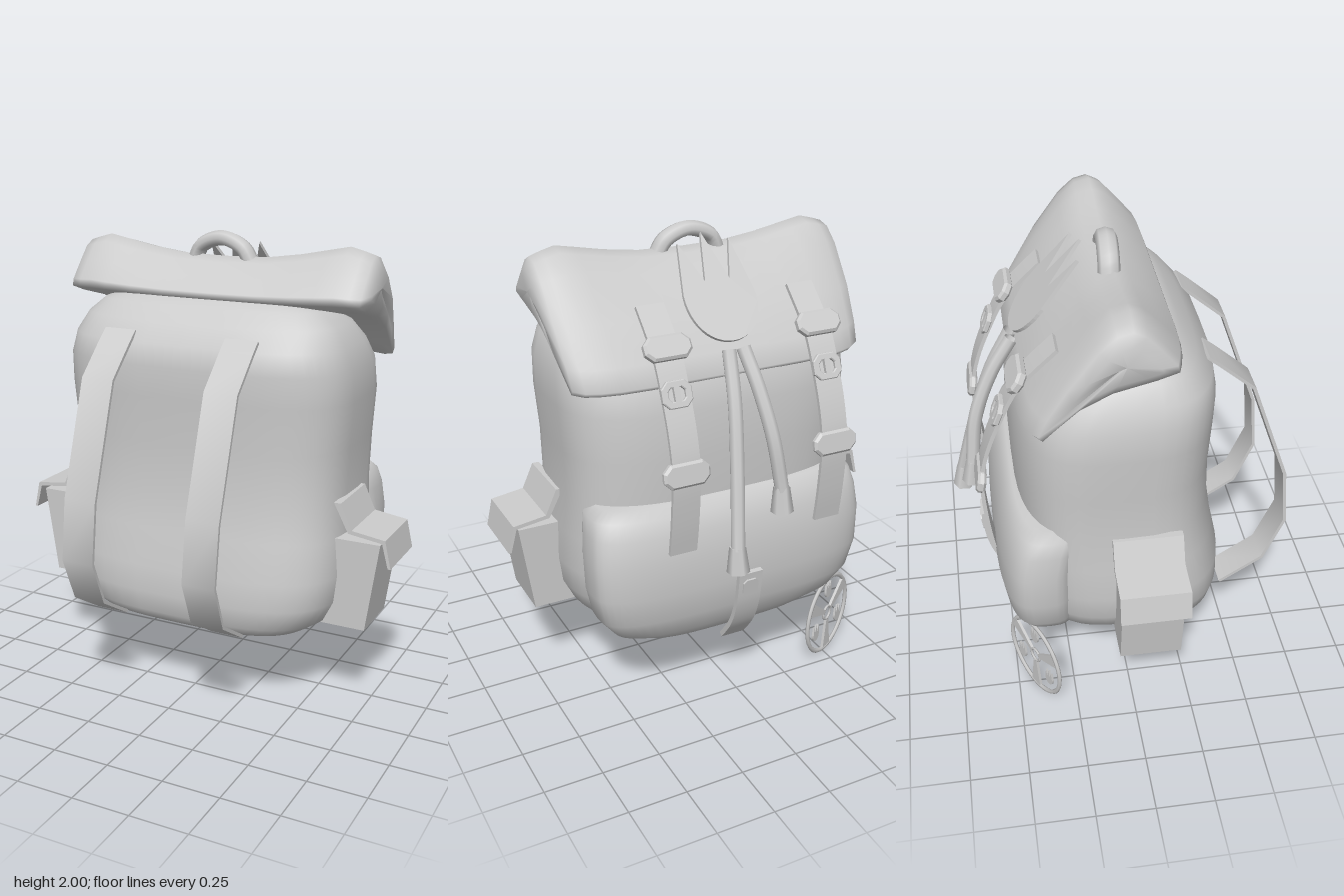
import * as THREE from 'three';
import { toCreasedNormals } from 'three/addons/utils/BufferGeometryUtils.js';

const grey = new THREE.MeshStandardMaterial({ color: 0xcccccc, side: THREE.DoubleSide });

function part(parent, name, geometry) {
  const mesh = new THREE.Mesh(geometry, grey);
  mesh.name = name;
  parent.add(mesh);
  return mesh;
}

// Smooth skin over a list of equally long closed rings of Vector3
function loft(rings) {
  const n = rings[0].length, index = [];
  for (let r = 0; r < rings.length - 1; r++) {
    for (let i = 0; i < n; i++) {
      const a = r * n + i, b = r * n + (i + 1) % n;
      index.push(a, a + n, b, b, a + n, b + n);
    }
  }
  const g = new THREE.BufferGeometry().setFromPoints(rings.flat());
  g.setIndex(index);
  g.computeVertexNormals();
  return g;
}

// Rounded-box bag from rows of [y, half width, front z, back z]
function bag(rows, power, sides = 48) {
  const bend = v => Math.sign(v) * Math.abs(v) ** (2 / power);
  return loft(rows.map(([y, w, front, back]) => Array.from({ length: sides }, (_, i) => {
    const t = i / sides * Math.PI * 2;
    return new THREE.Vector3(w * bend(Math.cos(t)), y,
      (front + back) / 2 + (front - back) / 2 * bend(Math.sin(t)));
  })));
}

// Flat strap following a path of [z, y] points, its width along x
function strapBand(points, width, thickness, steps = 24) {
  const curve = new THREE.SplineCurve(points.map(p => new THREE.Vector2(...p)));
  const outer = [], inner = [];
  for (let i = 0; i <= steps; i++) {
    const p = curve.getPoint(i / steps), t = curve.getTangent(i / steps);
    const n = new THREE.Vector2(-t.y, t.x).multiplyScalar(thickness / 2);
    outer.push(p.clone().add(n));
    inner.unshift(p.clone().sub(n));
  }
  const g = new THREE.ExtrudeGeometry(new THREE.Shape([...outer, ...inner]),
    { depth: width, bevelEnabled: false });
  return toCreasedNormals(g.translate(0, 0, -width / 2).rotateY(-Math.PI / 2), 0.8);
}

// Lay a piece on the back: local y runs along (0, ty, tz), local z points outward
function layOnBack(mesh, x, y, z, ty, tz) {
  const up = new THREE.Vector3(0, ty, tz).normalize();
  const side = new THREE.Vector3(-1, 0, 0);
  const out = side.clone().cross(up);
  mesh.quaternion.setFromRotationMatrix(new THREE.Matrix4().makeBasis(side, up, out));
  mesh.position.set(x, y, z);
  return mesh;
}

const polygon = pts => new THREE.Shape(pts.map(p => new THREE.Vector2(...p)));
// Rectangle with cut corners
const cutRect = (w, h, c) => polygon([[-w + c, -h], [w - c, -h], [w, -h + c], [w, h - c],
  [w - c, h], [-w + c, h], [-w, h - c], [-w, -h + c]]);
const plate = (shape, depth, bevel = 0) => new THREE.ExtrudeGeometry(shape, {
  depth, bevelEnabled: bevel > 0, bevelSize: bevel, bevelThickness: bevel, bevelSegments: 1 });

// Flame outline standing on y = 0, one unit high, with three tongues
function flame() {
  const s = new THREE.Shape();
  s.moveTo(0, 0);
  s.bezierCurveTo(0.22, 0, 0.36, 0.2, 0.34, 0.42);
  s.lineTo(0.25, 0.92);
  s.lineTo(0.14, 0.55);
  s.lineTo(0, 1);
  s.lineTo(-0.1, 0.55);
  s.lineTo(-0.25, 0.92);
  s.lineTo(-0.34, 0.45);
  s.bezierCurveTo(-0.36, 0.2, -0.22, 0, 0, 0);
  return s;
}

export function createModel() {
  const model = new THREE.Group();
  model.name = 'backpack';

  // Main sack
  part(model, 'body', bag([
    [0.295, 0.01, 0.01, -0.01], [0.3, 0.2, 0.12, -0.2], [0.325, 0.4, 0.28, -0.32],
    [0.36, 0.52, 0.39, -0.37], [0.41, 0.59, 0.43, -0.4], [0.5, 0.635, 0.44, -0.42],
    [0.62, 0.65, 0.435, -0.43], [0.78, 0.645, 0.4, -0.44], [0.95, 0.635, 0.375, -0.45],
    [1.15, 0.64, 0.37, -0.455], [1.35, 0.655, 0.38, -0.45], [1.48, 0.65, 0.385, -0.42],
    [1.57, 0.62, 0.37, -0.36], [1.65, 0.575, 0.3, -0.26], [1.71, 0.5, 0.24, -0.16],
    [1.745, 0.4, 0.19, -0.1], [1.76, 0.01, 0.06, 0.04]], 3.3));

  // Bulging pocket low on the back
  part(model, 'backPocket', bag([
    [0.28, 0.01, -0.3, -0.32], [0.285, 0.2, -0.22, -0.39], [0.32, 0.4, -0.2, -0.45],
    [0.38, 0.53, -0.2, -0.5], [0.47, 0.6, -0.2, -0.535], [0.6, 0.63, -0.2, -0.555],
    [0.75, 0.635, -0.2, -0.55], [0.86, 0.625, -0.18, -0.53], [0.93, 0.61, -0.16, -0.5],
    [0.97, 0.57, -0.16, -0.465], [0.985, 0.01, -0.3, -0.32]], 3.4));

  // Rolled flap over the top: one [z, y] profile swept along x, tucked in at the ends
  const profile = [[0.2, 1.745], [0.19, 1.775], [0.12, 1.845], [0.05, 1.91], [-0.01, 1.935],
    [-0.08, 1.92], [-0.16, 1.86], [-0.3, 1.7], [-0.4, 1.56], [-0.44, 1.48], [-0.42, 1.46],
    [-0.35, 1.52], [-0.25, 1.6], [-0.1, 1.67], [0.1, 1.715]];
  // [x, height scale, depth scale, ridge lift]
  const half = [[0, 1, 1, -0.04], [0.2, 1, 1, -0.035], [0.35, 1, 1, -0.015],
    [0.48, 1, 0.98, 0.01], [0.56, 1, 0.94, 0.025], [0.62, 1, 0.88, 0.01],
    [0.665, 0.97, 0.82, 0], [0.69, 0.6, 0.55, 0], [0.69, 0.001, 0.001, 0]];
  const stations = [...half.slice(1).reverse().map(([x, ...rest]) => [-x, ...rest]), ...half];
  part(model, 'topFlap', loft(stations.map(([x, sy, sz, lift]) => profile.map(([z, y]) =>
    new THREE.Vector3(x * (1 - 0.12 * Math.max(0, 1.75 - y)) + 0.02,
      1.8 + (y - 1.8) * sy + lift * Math.max(0, (y - 1.72) / 0.21),
      -0.04 + (z + 0.04) * sz)))));

  // Carry handle, a little wider than thick
  const handle = new THREE.CatmullRomCurve3([[-0.13, 1.87], [-0.1, 1.93], [0, 1.967],
    [0.1, 1.93], [0.14, 1.87]].map(([x, y]) => new THREE.Vector3(x, y, x * 0.04)));
  const grip = part(model, 'carryHandle', new THREE.TubeGeometry(handle, 20, 0.032, 8));
  grip.scale.z = 1.4;
  grip.position.z = -0.02;

  // Shoulder straps bowing out at the front
  for (const x of [-0.285, 0.272]) {
    const g = strapBand([[0.33, 1.61], [0.38, 1.57], [0.53, 1.44], [0.7, 0.97],
      [0.72, 0.71], [0.63, 0.51], [0.44, 0.39]], 0.145, 0.014, 6);
    const p = g.attributes.position;
    for (let i = 0; i < p.count; i++) {
      const y = p.getY(i);
      p.setX(i, p.getX(i) + 0.015 * Math.sin((y - 0.6) * Math.PI) - 0.01);
    }
    part(model, 'shoulderStrap', g).position.x = x;
  }

  // Box pouches with hanging lids on both sides
  for (const side of [1, -1]) {
    const pouch = new THREE.Group();
    pouch.name = 'sidePouch';
    pouch.scale.x = side;
    model.add(pouch);
    const box = plate(polygon([[0.55, 0.4], [0.765, 0.4], [0.82, 0.79], [0.55, 0.79]]), 0.26);
    part(pouch, 'pouchBox', box).position.z = -0.075;
    const lid = [[0.62, 0.95], [0.65, 0.95], [0.7, 0.84], [0.845, 0.82], [0.872, 0.7],
      [0.86, 0.7], [0.832, 0.805], [0.685, 0.825]];
    part(pouch, 'pouchLid', plate(polygon(lid), 0.29)).position.z = -0.09;
  }

  // Buckled closing straps on the back
  const ring = cutRect(0.06, 0.05, 0.025);
  ring.holes.push(cutRect(0.04, 0.03, 0.015));
  for (const x of [-0.385, 0.295]) {
    const closing = new THREE.Group();
    closing.name = 'closingStrap';
    model.add(closing);
    part(closing, 'strapWebbing', strapBand([[-0.27, 1.75], [-0.42, 1.6], [-0.5, 1.45],
      [-0.56, 1.3], [-0.59, 1.15], [-0.58, 0.95], [-0.56, 0.8]], 0.12, 0.016)).position.x = x;
    layOnBack(part(closing, 'upperBuckle', plate(cutRect(0.09, 0.04, 0.025), 0.02, 0.01)),
      x, 1.62, -0.42, 0.18, 0.13);
    layOnBack(part(closing, 'ringBuckle', plate(ring, 0.015, 0.004)), x, 1.46, -0.5, 0.15, 0.06);
    layOnBack(part(closing, 'ringBar', new THREE.BoxGeometry(0.025, 0.08, 0.02)),
      x, 1.46, -0.51, 0.15, 0.06);
    layOnBack(part(closing, 'lowerBuckle', plate(cutRect(0.09, 0.04, 0.025), 0.015, 0.01)),
      x, 1.16, -0.585, 0.16, 0.03);
  }

  // Draw cords with capped ends
  for (const [x0, x1, yEnd, zEnd] of [[0.02, 0.1, 0.81, -0.665], [-0.045, -0.125, 1.01, -0.62]]) {
    const at = (t, z) => new THREE.Vector3(x0 + (x1 - x0) * t, 1.57 + (yEnd - 1.57) * t, z);
    const path = new THREE.CatmullRomCurve3([at(0, -0.42), at(0.25, -0.51),
      at(0.6, -0.59), at(1, zEnd)]);
    part(model, 'drawCord', new THREE.TubeGeometry(path, 20, 0.03, 8));
    const cap = part(model, 'cordEnd', new THREE.CylinderGeometry(0.034, 0.048, 0.11, 6));
    cap.position.set(x1, yEnd - 0.04, zEnd);
    cap.rotation.x = 0.1;
  }

  // Pull tab on the pocket
  part(model, 'pocketTab', strapBand([[-0.595, 0.65], [-0.575, 0.5], [-0.53, 0.38],
    [-0.45, 0.27]], 0.11, 0.022));
  layOnBack(part(model, 'tabLoop', plate(cutRect(0.035, 0.04, 0.015), 0.015)),
    0, 0.58, -0.59, 1, -0.15);

  // Flame patch leaning on the flap
  layOnBack(part(model, 'flapPatch', plate(flame(), 0.015)), 0, 1.6, -0.415, 0.37, 0.3)
    .scale.set(0.46, 0.47, 1);

  // Hanging wheel charm: rim, hub, three blades and three small flames
  const charm = new THREE.Group();
  charm.name = 'wheelCharm';
  charm.position.set(-0.52, 0.197, -0.42);
  charm.rotation.y = THREE.MathUtils.degToRad(29);
  model.add(charm);
  part(charm, 'charmRim', new THREE.TorusGeometry(0.184, 0.011, 6, 40)).scale.z = 0.8;
  part(charm, 'charmHub', new THREE.TorusGeometry(0.032, 0.006, 6, 20));
  const blade = polygon([[0.035, -0.01], [0.18, -0.032], [0.18, 0.032], [0.035, 0.01]]);
  for (let i = 0; i < 3; i++) {
    const bladeMesh = part(charm, 'charmBlade', plate(blade, 0.012));
    bladeMesh.rotation.z = Math.PI / 6 + i * Math.PI * 2 / 3;
    bladeMesh.position.z = -0.006;
    const a = Math.PI / 2 + i * Math.PI * 2 / 3;
    const small = part(charm, 'charmFlame', plate(flame(), 0.01));
    small.scale.set(0.075, 0.085, 1);
    small.position.set(Math.cos(a) * 0.12, Math.sin(a) * 0.12 - 0.035, -0.005);
  }
  return model;
}
